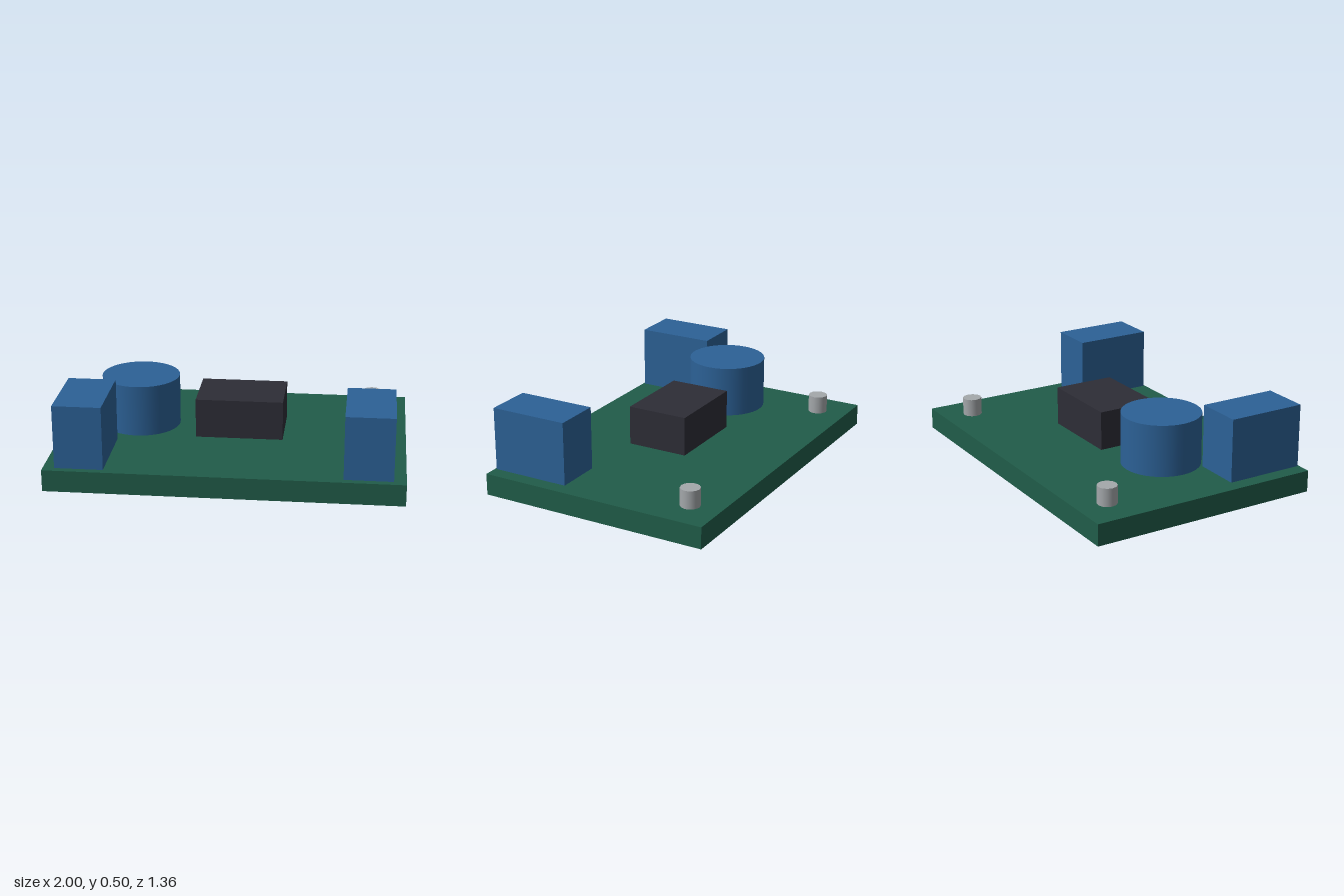
import * as THREE from 'three';

export function createModel() {
  const model = new THREE.Group();
  model.name = 'circuitBoard';

  const material = (name, color) => {
    const m = new THREE.MeshStandardMaterial({ color });
    m.name = name;
    return m;
  };
  const green = material('boardGreen', 0x205c49);
  const blue = material('componentBlue', 0x2c6196);
  const black = material('chipBlack', 0x2d2d36);
  const metal = material('postMetal', 0xa4a8ab);

  const add = (name, geometry, mat, x, y, z) => {
    const mesh = new THREE.Mesh(geometry, mat);
    mesh.name = name;
    mesh.position.set(x, y, z);
    model.add(mesh);
  };

  // Base plate
  add('board', new THREE.BoxGeometry(2, 0.125, 1.36), green, 0, 0.0625, 0);

  // Central chip and round capacitor, both held just above the board
  add('chip', new THREE.BoxGeometry(0.5, 0.227, 0.36), black, 0.045, 0.27, 0);
  add('capacitor', new THREE.CylinderGeometry(0.225, 0.225, 0.296, 40), blue, -0.545, 0.315, 0);

  // Mirrored terminal blocks, and a mounting post near each corner
  const blockGeometry = new THREE.BoxGeometry(0.272, 0.364, 0.455);
  const postGeometry = new THREE.CylinderGeometry(0.056, 0.056, 0.205, 12);
  for (const [side, sx] of [['left', 1], ['right', -1]]) {
    add(side + 'TerminalBlock', blockGeometry, blue, sx * 0.795, 0.315, 0.432);
    for (const [end, sz] of [['Front', 1], ['Back', -1]]) {
      add(side + end + 'Post', postGeometry, metal, sx * 0.795, 0.1265, sz * 0.5);
    }
  }

  return model;
}
